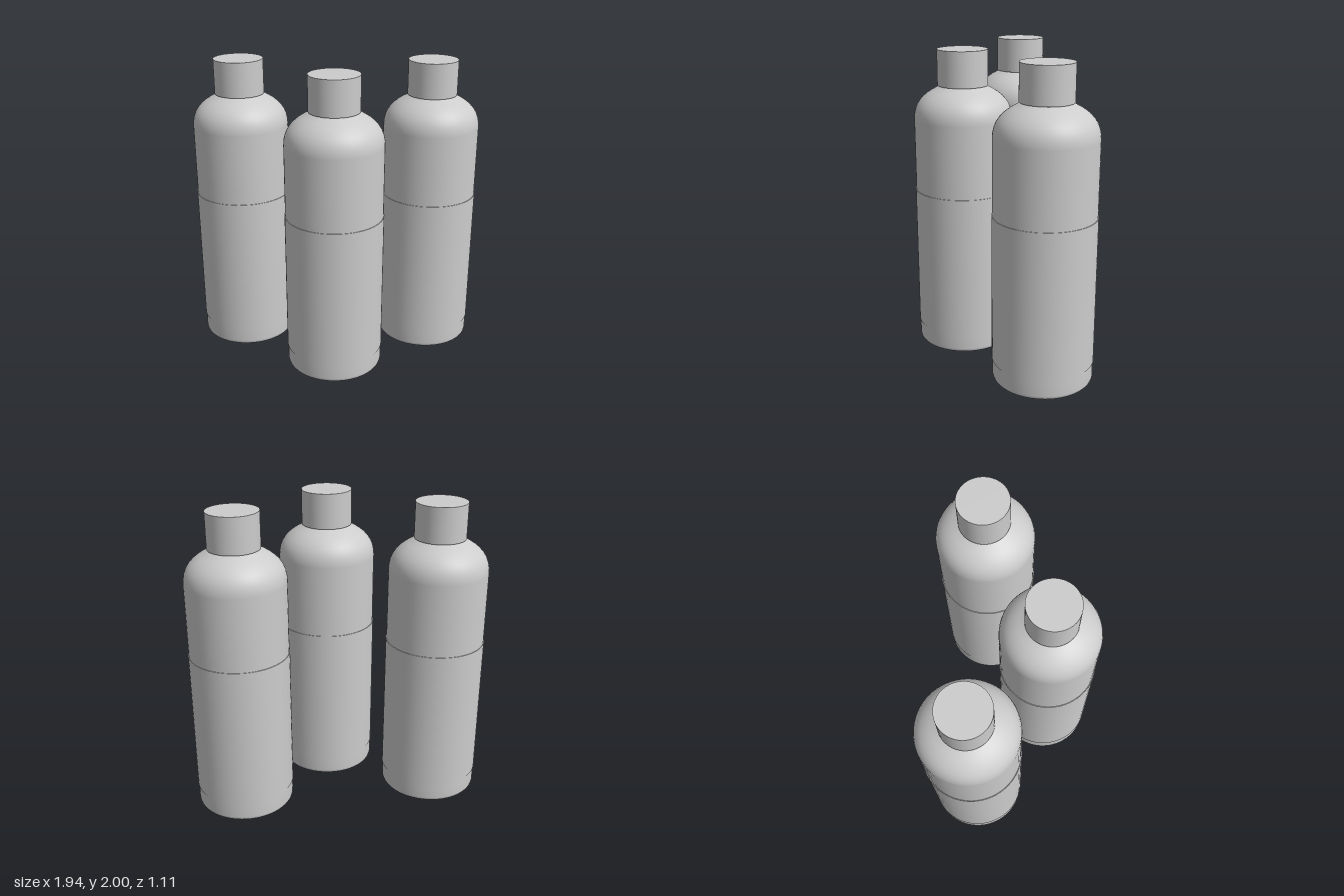
import * as THREE from 'three';

const SEGMENTS = 64;

// Smooth surface of revolution from [radius, height] pairs, bottom to top
function lathe(name, profile, material) {
  const points = profile.map(([r, y]) => new THREE.Vector2(r, y));
  const mesh = new THREE.Mesh(new THREE.LatheGeometry(points, SEGMENTS), material);
  mesh.name = name;
  return mesh;
}

function createBottle(name, material) {
  const bottle = new THREE.Group();
  bottle.name = name;

  // Flat underside
  const base = new THREE.Mesh(new THREE.CircleGeometry(0.302, SEGMENTS), material);
  base.name = 'base';
  base.rotation.x = Math.PI / 2;
  bottle.add(base);

  // Body with rounded foot and domed shoulder
  bottle.add(lathe('body', [
    [0.302, 0], [0.311, 0.004], [0.317, 0.012], [0.32, 0.026], [0.32, 0.1],
    [0.32, 1.1], [0.32, 1.555], [0.318, 1.585], [0.311, 1.617], [0.299, 1.646],
    [0.282, 1.672], [0.26, 1.696], [0.234, 1.717], [0.205, 1.736], [0.15, 1.765],
  ], material));

  // Thin sleeve around the lower body, with crisp rims
  const sleeve = new THREE.Group();
  sleeve.name = 'sleeve';
  sleeve.add(
    lathe('sleeveWall', [[0.324, 0.13], [0.324, 1.08]], material),
    lathe('sleeveTopRim', [[0.324, 1.08], [0.319, 1.08]], material),
    lathe('sleeveBottomRim', [[0.319, 0.13], [0.324, 0.13]], material),
  );
  bottle.add(sleeve);

  // Short neck, just visible beneath the cap
  bottle.add(lathe('neck', [[0.15, 1.755], [0.15, 1.78]], material));

  // Cylindrical cap
  const cap = new THREE.Mesh(new THREE.CylinderGeometry(0.165, 0.165, 0.232, SEGMENTS), material);
  cap.name = 'cap';
  cap.position.y = 1.884;
  bottle.add(cap);

  return bottle;
}

export function createModel() {
  const model = new THREE.Group();
  model.name = 'bottleSet';
  const material = new THREE.MeshStandardMaterial({ color: 0xcccccc });
  material.name = 'light grey';

  // Three bottles in a triangle
  const places = [
    ['rightBottle', -0.647, -0.235],
    ['middleBottle', -0.005, 0.229],
    ['leftBottle', 0.644, -0.214],
  ];
  for (const [name, x, z] of places) {
    const bottle = createBottle(name, material);
    bottle.position.set(x, 0, z);
    model.add(bottle);
  }
  return model;
}
